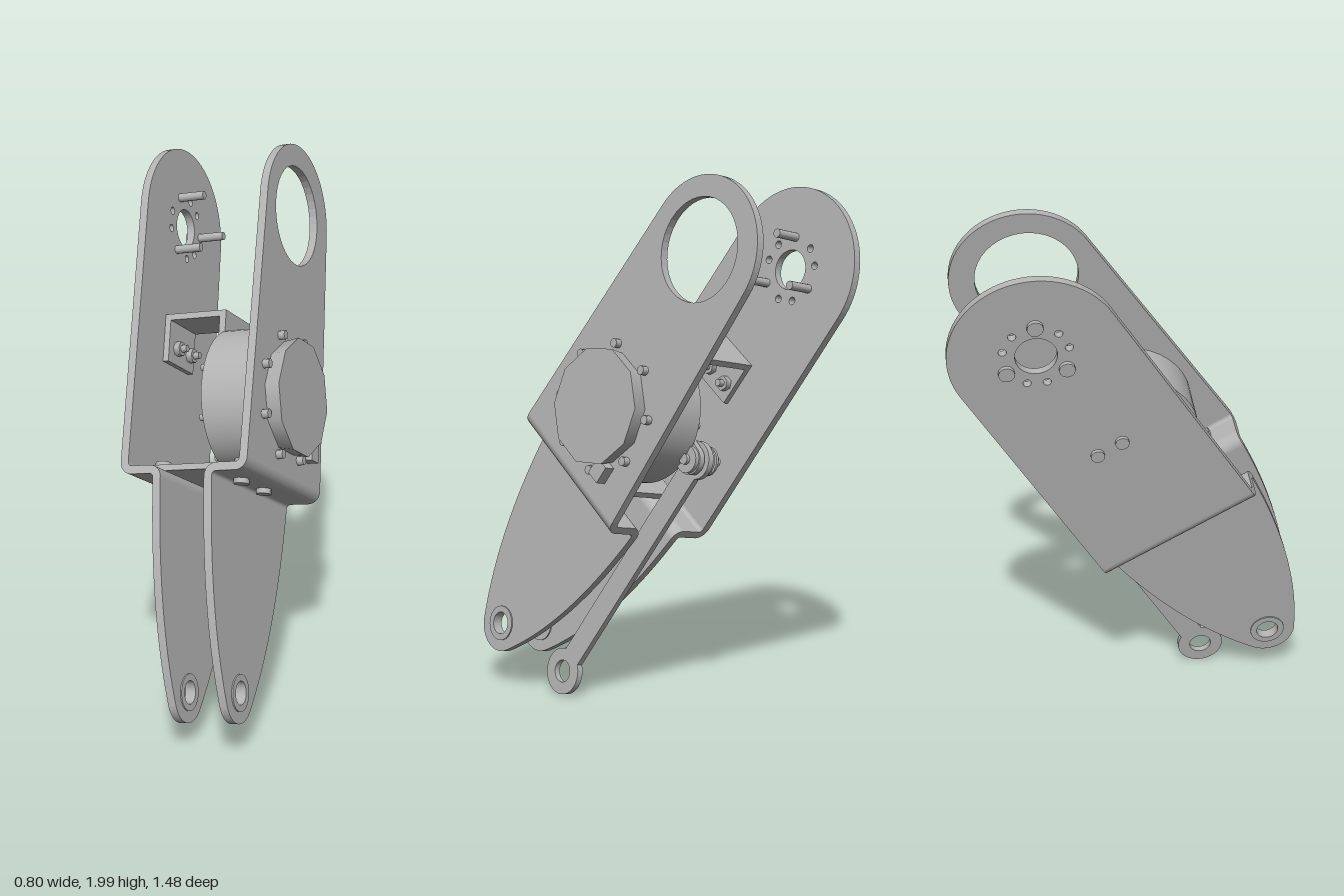
import * as THREE from 'three';

export function createModel() {
  const metal = new THREE.MeshStandardMaterial({ color: 0xb4b4b4 });
  metal.name = 'grey metal';

  const model = new THREE.Group();
  model.name = 'limbAssembly';
  // limb frame: x across the plates, y along the limb, z across its width
  const limb = new THREE.Group();
  limb.name = 'limb';
  const xAxis = new THREE.Vector3(0.874, 0.199, 0.445).normalize();
  const yAxis = new THREE.Vector3(0.088, 0.833, -0.546);
  yAxis.addScaledVector(xAxis, -xAxis.dot(yAxis)).normalize();
  const zAxis = new THREE.Vector3().crossVectors(xAxis, yAxis);
  limb.quaternion.setFromRotationMatrix(new THREE.Matrix4().makeBasis(xAxis, yAxis, zAxis));
  limb.position.set(-0.095, 0.341, 0.51);
  model.add(limb);

  function add(name, geometry) {
    const mesh = new THREE.Mesh(geometry, metal);
    mesh.name = name;
    limb.add(mesh);
    return mesh;
  }
  // sheet drawn as (z, y), thickness running from x0 to x1
  function sheet(name, shape, x0, x1) {
    const g = new THREE.ExtrudeGeometry(shape, { depth: x1 - x0, bevelEnabled: false, curveSegments: 20 });
    g.rotateY(-Math.PI / 2).translate(x1, 0, 0);
    return add(name, g);
  }
  // cylinder along x
  function disc(name, r, x0, x1, y, z, sides = 16, rEnd = r) {
    const g = new THREE.CylinderGeometry(r, rEnd, x1 - x0, sides);
    g.rotateZ(Math.PI / 2).translate((x0 + x1) / 2, y, z);
    return add(name, g);
  }
  function hole(shape, z, y, r) {
    shape.holes.push(new THREE.Path().absarc(z, y, r, 0, Math.PI * 2, true));
  }
  function box(name, x0, x1, y0, y1, z0, z1) {
    const g = new THREE.BoxGeometry(x1 - x0, y1 - y0, z1 - z0);
    return add(name, g.translate((x0 + x1) / 2, (y0 + y1) / 2, (z0 + z1) / 2));
  }

  const W = 0.315;        // half width of the sheets
  const topY = 1.607;     // upper joint
  const motorY = 0.92;
  const kneeY = -0.135;

  // side plates: straight foot, tangent sides, round head
  function plateShape(r) {
    const y0 = 0.64, d = Math.hypot(W, topY - y0);
    const phi = Math.atan2(y0 - topY, W) + Math.acos(r / d);
    const s = new THREE.Shape();
    s.moveTo(-W, y0);
    s.lineTo(W, y0);
    s.absarc(0, topY, r, phi, Math.PI - phi, false);
    s.closePath();
    return s;
  }
  const ringedPlate = plateShape(0.267);
  hole(ringedPlate, 0.01, topY, 0.184);
  sheet('leftSidePlate', ringedPlate, 0.217, 0.247);

  const jointPlate = plateShape(0.3);
  hole(jointPlate, 0, topY, 0.072);
  for (let i = 0; i < 3; i++) {
    for (const off of [-0.3, 0.3]) {
      const a = (i * 2 * Math.PI) / 3 + off;
      hole(jointPlate, Math.cos(a) * 0.115, topY + Math.sin(a) * 0.115, 0.014);
    }
  }
  sheet('rightSidePlate', jointPlate, -0.247, -0.217);

  // joint pins with outside heads
  for (let i = 0; i < 3; i++) {
    const a = Math.PI + (i * 2 * Math.PI) / 3;
    const z = Math.cos(a) * 0.118, y = topY + Math.sin(a) * 0.118;
    disc('jointPin', 0.016, -0.24, -0.115, y, z, 12);
    disc('jointPinHead', 0.028, -0.262, -0.247, y, z, 12);
  }

  // S-shaped bends joining plates to lower legs
  const bend = new THREE.Shape();
  bend.moveTo(0.247, 0.645);
  bend.lineTo(0.217, 0.645);
  bend.absarc(0.202, 0.64, 0.015, 0, -Math.PI / 2, true);
  bend.absarc(0.13, 0.58, 0.045, Math.PI / 2, Math.PI, false);
  bend.lineTo(0.085, 0.575);
  bend.lineTo(0.115, 0.575);
  bend.absarc(0.13, 0.58, 0.015, Math.PI, Math.PI / 2, true);
  bend.absarc(0.202, 0.64, 0.045, -Math.PI / 2, 0, false);
  bend.closePath();
  for (const turn of [0, Math.PI]) {
    const g = new THREE.ExtrudeGeometry(bend, { depth: 2 * W, bevelEnabled: false, curveSegments: 8 });
    add('bentFlange', g.translate(0, 0, -W).rotateY(turn));
  }

  // lower legs with bushings
  const leg = new THREE.Shape();
  const tipR = 0.108, tz = Math.cos(0.5) * tipR, ty = kneeY - Math.sin(0.5) * tipR;
  leg.moveTo(-W, 0.58);
  leg.quadraticCurveTo(-0.275, 0.12, -tz, ty);
  leg.absarc(0, kneeY, tipR, Math.PI + 0.5, 2 * Math.PI - 0.5, false);
  leg.quadraticCurveTo(0.275, 0.12, W, 0.58);
  leg.closePath();
  hole(leg, 0, kneeY, 0.042);
  const bushing = new THREE.Shape().absarc(0, kneeY, 0.066, 0, Math.PI * 2, false);
  hole(bushing, 0, kneeY, 0.042);
  for (const s of [-1, 1]) {
    sheet('lowerLeg', leg, s * 0.1 - 0.015, s * 0.1 + 0.015);
    sheet('kneeBushing', bushing, s * 0.1 - 0.02, s * 0.1 + 0.02);
  }

  // cross plate bolted onto the flanges
  box('crossPlate', -0.2, 0.2, 0.625, 0.647, -0.13, 0.215);
  for (const x of [-0.157, 0.157]) {
    for (const z of [0.165, -0.02]) {
      const screw = new THREE.CylinderGeometry(0.028, 0.028, 0.09, 12);
      add('crossPlateScrew', screw.translate(x, 0.621, z));
    }
  }

  // motor with faceted outer cap and rim screws
  disc('motorBody', 0.26, 0.025, 0.217, motorY, 0, 40);
  disc('motorCap', 0.205, 0.247, 0.305, motorY, 0, 10, 0.215);
  box('motorCableTab', 0.25, 0.29, motorY - 0.2, motorY - 0.13, -0.19, -0.13);
  for (let i = 0; i < 8; i++) {
    const a = ((i + 0.4) * Math.PI) / 4;
    const z = Math.cos(a), y = Math.sin(a);
    disc('capScrew', 0.017, 0.24, 0.272, motorY + y * 0.232, z * 0.232, 8);
    disc('bodyScrew', 0.013, 0.005, 0.03, motorY + y * 0.235, z * 0.235, 8);
  }

  // bracket bridging motor and right plate
  box('motorBracketTop', -0.217, 0.03, 1.215, 1.238, -0.09, 0.11);
  box('motorBracketPlateFlange', -0.217, -0.195, 1.06, 1.225, -0.09, 0.11);
  box('motorBracketMotorFlange', 0.005, 0.03, 1.06, 1.225, -0.09, 0.11);
  for (const z of [-0.05, 0.05]) {
    disc('bracketScrewHead', 0.025, -0.26, -0.247, 1.12, z, 12);
    disc('bracketNut', 0.028, -0.195, -0.172, 1.12, z, 6);
    disc('bracketScrewEnd', 0.014, -0.172, -0.15, 1.12, z, 8);
  }

  // crank arm on the motor shaft
  const crankZ = -0.27, crank = new THREE.Shape();
  crank.absarc(0, motorY, 0.085, -Math.PI / 2, Math.PI / 2, false);
  crank.absarc(crankZ, motorY, 0.055, Math.PI / 2, 1.5 * Math.PI, false);
  crank.closePath();
  sheet('crankArm', crank, -0.004, 0.02);
  disc('motorShaft', 0.05, -0.02, 0.03, motorY, 0, 20);

  // push rod running down beside the knee
  const rodZ = -0.281, rodY = -0.12, rod = new THREE.Shape();
  const rodR = 0.088, rodW = 0.045, k = Math.acos(rodW / rodR);
  rod.absarc(rodZ, rodY, rodR, Math.PI - k, 2 * Math.PI + k, false);
  rod.absarc(crankZ, motorY, 0.07, -Math.acos(rodW / 0.07), Math.PI + Math.acos(rodW / 0.07), false);
  rod.closePath();
  hole(rod, rodZ, rodY, 0.042);
  sheet('pushRod', rod, -0.034, -0.01);

  // crank pin stack
  const stack = [[0.062, -0.05, -0.036, 20], [0.04, -0.066, -0.05, 16], [0.055, -0.076, -0.066, 20],
    [0.036, -0.1, -0.076, 6], [0.018, -0.125, -0.1, 10], [0.05, 0.02, 0.036, 16], [0.02, -0.05, 0.05, 10]];
  for (const [r, x0, x1, n] of stack) disc('crankPin', r, x0, x1, motorY, crankZ, n);

  return model;
}
